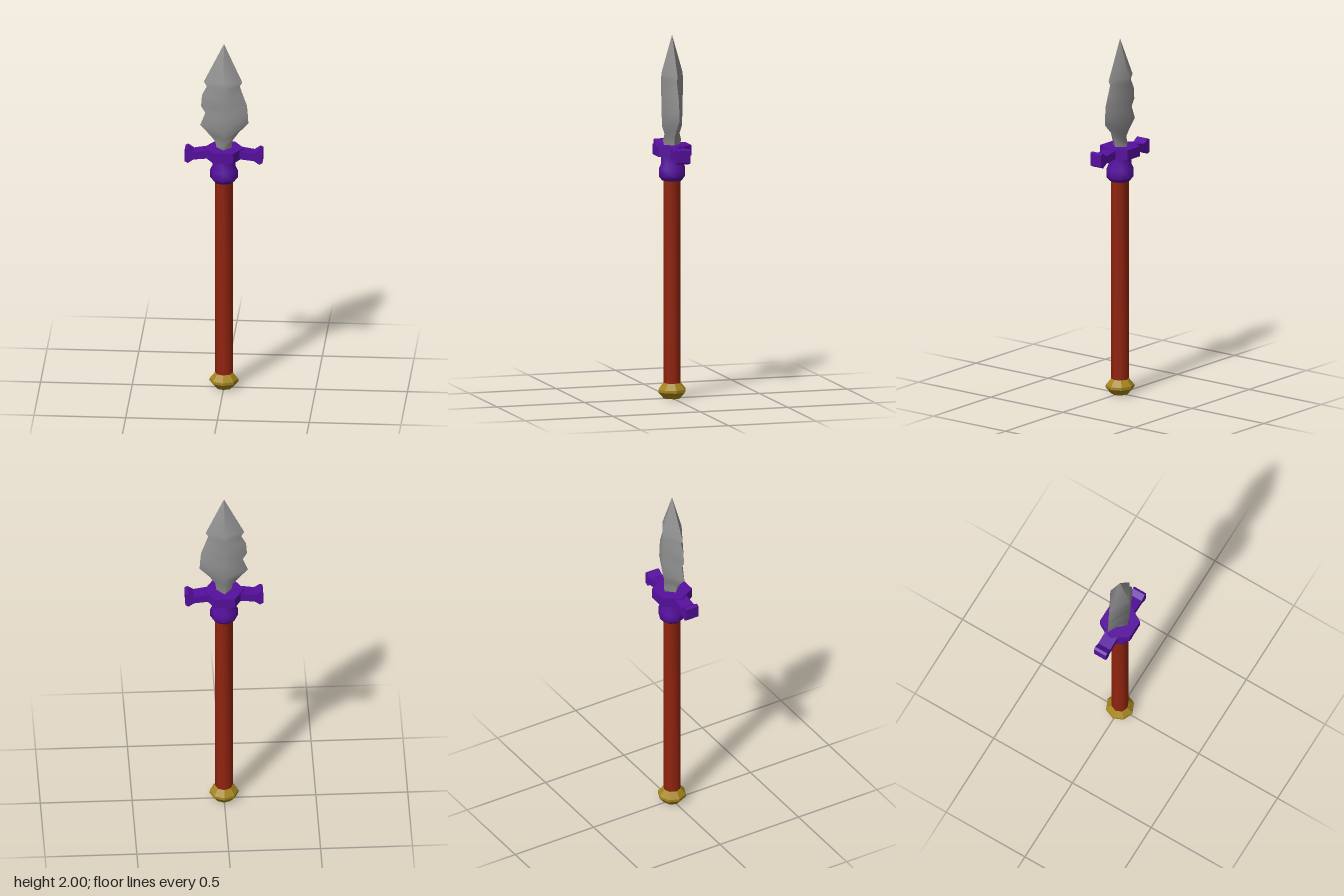
import * as THREE from 'three';
import { toCreasedNormals } from 'three/addons/utils/BufferGeometryUtils.js';

const mat = (name, color) => {
  const m = new THREE.MeshStandardMaterial({ color });
  m.name = name;
  return m;
};

export function createModel() {
  const group = new THREE.Group();
  const steel = mat('steel', 0x939393);
  const purple = mat('purple', 0x560f9e);
  const wood = mat('redWood', 0x92240f);
  const gold = mat('gold', 0xa5851e);

  const add = (name, geometry, material) => {
    const mesh = new THREE.Mesh(geometry, material);
    mesh.name = name;
    group.add(mesh);
    return mesh;
  };
  // Turned part from [radius, height] pairs, bottom to top
  const turned = (profile, sides, crease) => toCreasedNormals(
    new THREE.LatheGeometry(profile.map(p => new THREE.Vector2(...p)), sides), crease);

  // Pommel, shaft and socket
  add('pommel', turned([[0, 0], [0.047, 0], [0.078, 0.035], [0.078, 0.05], [0.05, 0.085], [0, 0.085]], 8, 0.6), gold);
  add('shaft', turned([[0, 0.06], [0.048, 0.06], [0.048, 1.22], [0, 1.22]], 8, 0.9), wood);
  add('socket', turned([[0, 1.2], [0.055, 1.2], [0.075, 1.222], [0.075, 1.268],
    [0.062, 1.295], [0.064, 1.35], [0, 1.35]], 8, 0.9), purple);

  // Hexagonal collar of the guard
  const collar = new THREE.CylinderGeometry(0.109, 0.109, 0.056, 6).rotateY(Math.PI / 6);
  add('guardCollar', toCreasedNormals(collar, 0.3), purple).position.y = 1.368;

  // Guard arms with flared ends, mirrored
  const arm = [[0, 1.342], [0.08, 1.345], [0.165, 1.336], [0.195, 1.315], [0.212, 1.325],
    [0.212, 1.392], [0.198, 1.4], [0.165, 1.378], [0.08, 1.392], [0, 1.392]];
  for (const side of [1, -1]) {
    const shape = new THREE.Shape(arm.map(([x, y]) => new THREE.Vector2(x * side, y)));
    const geo = new THREE.ExtrudeGeometry(shape, { depth: 0.076, bevelEnabled: false });
    geo.translate(0, 0, -0.038);
    add(side > 0 ? 'leftGuardArm' : 'rightGuardArm', geo, purple);
  }

  // Blade sections: [left edge x, left y, right edge x, right y, ridge y, ridge half depth]
  const sections = [
    [-0.04, 1.39, 0.04, 1.39, 1.39, 0.045],
    [-0.048, 1.43, 0.048, 1.44, 1.42, 0.052],
    [-0.075, 1.465, 0.08, 1.485, 1.455, 0.043],
    [-0.13, 1.525, 0.133, 1.54, 1.50, 0.057],
    [-0.102, 1.595, 0.13, 1.59, 1.59, 0.06],
    [-0.125, 1.635, 0.125, 1.645, 1.64, 0.061],
    [-0.12, 1.70, 0.105, 1.70, 1.70, 0.062],
    [-0.094, 1.75, 0.086, 1.755, 1.755, 0.062],
    [-0.11, 1.778, 0.10, 1.778, 1.79, 0.061],
    [0, 2, 0, 2, 2, 0],
  ];
  const bladeFace = face => {
    const pos = [], index = [];
    for (const [lx, ly, rx, ry, my, d] of sections) {
      pos.push(lx, ly, 0, 0, my, d * face, rx, ry, 0);
    }
    for (let i = 0; i < sections.length - 1; i++) {
      for (let j = 0; j < 2; j++) {
        const a = i * 3 + j, b = a + 1, c = a + 3, e = a + 4;
        const tris = i === sections.length - 2 ? [[a, b, e]] : [[a, b, e], [a, e, c]];
        for (const [p, q, r] of tris) index.push(...(face > 0 ? [p, q, r] : [p, r, q]));
      }
    }
    const geo = new THREE.BufferGeometry();
    geo.setAttribute('position', new THREE.Float32BufferAttribute(pos, 3));
    geo.setIndex(index);
    geo.computeVertexNormals();
    return geo;
  };
  add('bladeFront', bladeFace(1), steel);
  add('bladeBack', bladeFace(-1), steel);

  return group;
}
